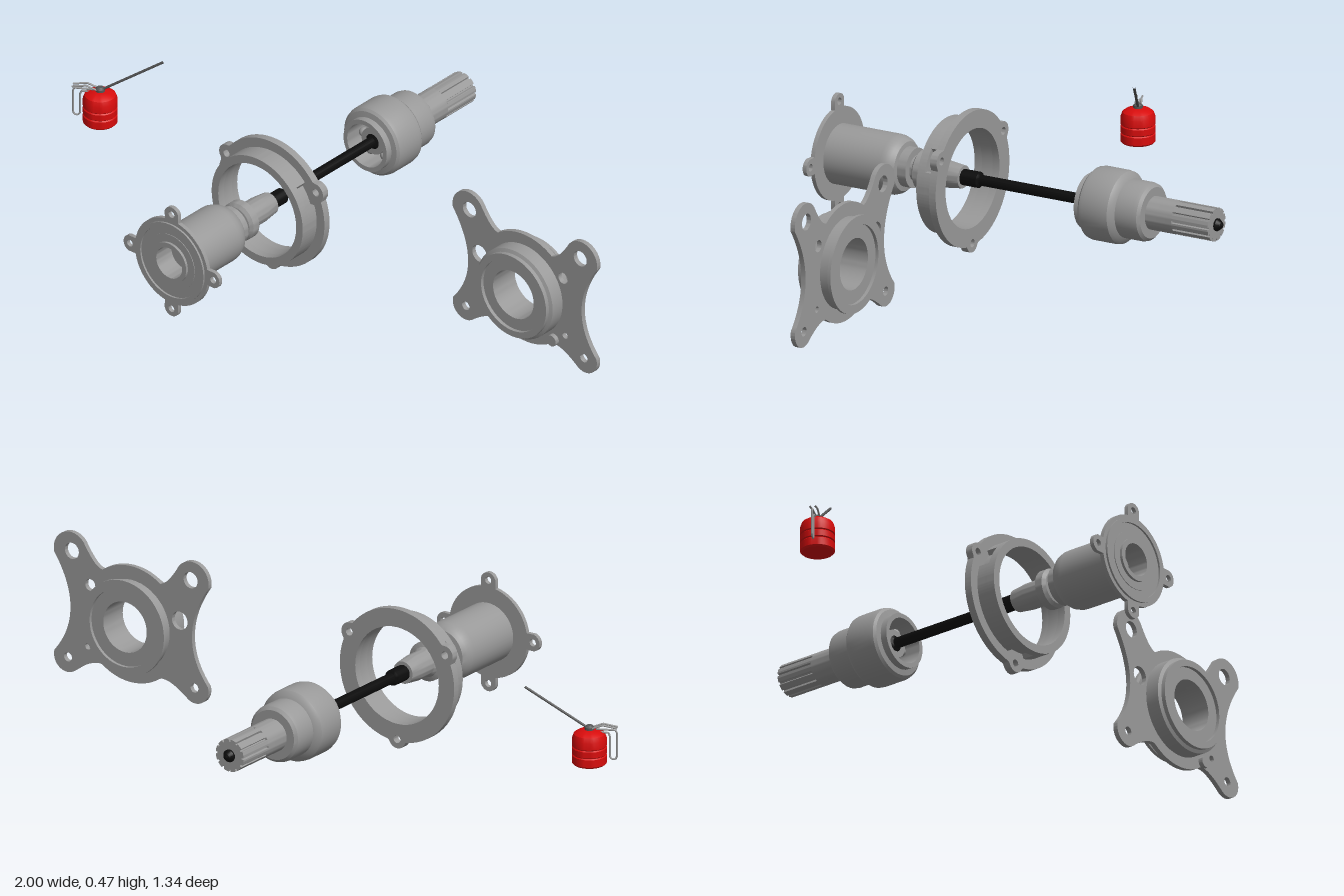
import * as THREE from 'three';
import { toCreasedNormals } from 'three/addons/utils/BufferGeometryUtils.js';

const mat = (name, color, side = THREE.FrontSide) => {
  const m = new THREE.MeshStandardMaterial({ color, side });
  m.name = name;
  return m;
};

export function createModel() {
  const steel = mat('steel grey', 0x999999);
  const black = mat('black', 0x0c0c0c);
  const red = mat('red', 0xd80c0c);
  const dark = mat('dark grey', 0x555555);

  const add = (parent, name, geo, material, x = 0, y = 0, z = 0) => {
    const m = new THREE.Mesh(geo, material);
    m.name = name;
    m.position.set(x, y, z);
    parent.add(m);
    return m;
  };
  const group = (parent, name, x, y, z = 0) => {
    const g = new THREE.Group();
    g.name = name;
    g.position.set(x, y, z);
    parent.add(g);
    return g;
  };
  const V = (p) => p.map(([a, b]) => new THREE.Vector2(a, b));

  // Turned part: profile of [radius, height], revolved around y
  const turn = (profile, seg = 48) => toCreasedNormals(new THREE.LatheGeometry(V(profile), seg), 0.5);
  // Same, with the axis laid along z
  const turnZ = (profile, seg) => turn(profile, seg).rotateX(Math.PI / 2);

  // Flat part between two z values, with round holes [x, y, r]
  const slab = (shape, holes, z0, z1) => {
    for (const [x, y, r] of holes) {
      const h = new THREE.Path();
      h.absarc(x, y, r, 0, Math.PI * 2, true);
      shape.holes.push(h);
    }
    const g = new THREE.ExtrudeGeometry(shape, { depth: z1 - z0, bevelEnabled: false, curveSegments: 24 });
    return toCreasedNormals(g.translate(0, 0, z0), 0.5);
  };
  // Outline given as radius by angle
  const polar = (rule, n = 240) => new THREE.Shape(Array.from({ length: n }, (_, i) => {
    const t = (i / n) * Math.PI * 2;
    const r = rule(t);
    return new THREE.Vector2(r * Math.cos(t), r * Math.sin(t));
  }));
  // Disc with round lobes at the given angles
  const lobed = (base, angles, d, rho) => polar((t) => Math.max(base, ...angles.map((a) => {
    const s = rho * rho - (d * Math.sin(t - a)) ** 2;
    return s > 0 && Math.cos(t - a) > 0 ? d * Math.cos(t - a) + Math.sqrt(s) : 0;
  })));
  const around = (angles, d, r) => angles.map((a) => [d * Math.cos(a), d * Math.sin(a), r]);

  const model = new THREE.Group();
  model.name = 'axle assembly';
  const axle = group(model, 'axle', -0.157, 0.228);

  // Flanged hub at the front
  const hub = group(axle, 'flangedHub', 0, 0);
  add(hub, 'hubBarrel', turnZ([
    [0, 0.22], [0.034, 0.22], [0.04, 0.27], [0.04, 0.32], [0.046, 0.33], [0.06, 0.335], [0.06, 0.36],
    [0.05, 0.368], [0.038, 0.37], [0.038, 0.383], [0.06, 0.383], [0.06, 0.412], [0.074, 0.414],
    [0.083, 0.425], [0.089, 0.442], [0.09, 0.455], [0.09, 0.66], [0.065, 0.66], [0.065, 0.668],
    [0.05, 0.668], [0.05, 0.6], [0.016, 0.6], [0.016, 0.61], [0, 0.61]]), steel);
  const quarter = [0, 1, 2, 3].map((i) => i * Math.PI / 2);
  add(hub, 'hubFlange', slab(lobed(0.14, quarter, 0.157, 0.027),
    [[0, 0, 0.089], ...around(quarter, 0.16, 0.011)], 0.645, 0.658), steel);
  add(hub, 'hubFaceRing', turnZ([
    [0.115, 0.655], [0.128, 0.655], [0.128, 0.664], [0.115, 0.664], [0.115, 0.655]]), steel);

  // Open retaining ring with three bolt lobes and pockets beside them
  const ring = group(axle, 'retainingRing', 0, 0);
  const thirds = [1, 5, 9].map((i) => i * Math.PI / 6);
  const pocketed = polar((t) =>
    (thirds.some((a) => Math.cos(t - a) > Math.cos(0.2)) ? 0.16 : 0.175));
  add(ring, 'ringFlange', slab(lobed(0.205, thirds, 0.196, 0.03),
    [[0, 0, 0.15], ...around(thirds, 0.198, 0.012)], 0.19, 0.213), steel);
  add(ring, 'ringPocketBand', slab(pocketed, [[0, 0, 0.15]], 0.213, 0.25), steel);
  add(ring, 'ringBody', slab(polar(() => 0.175), [[0, 0, 0.15]], 0.25, 0.275), steel);

  // Drive shaft with splined ends
  add(axle, 'driveShaft', turnZ([
    [0, -0.34], [0.024, -0.34], [0.024, -0.24], [0.016, -0.235], [0.016, 0.16],
    [0.024, 0.165], [0.024, 0.23], [0, 0.23]], 20), black);

  // Constant velocity joint at the back
  const joint = group(axle, 'driveJoint', 0, 0);
  add(joint, 'jointCup', turnZ([
    [0.04, -0.43], [0.076, -0.43], [0.085, -0.422], [0.088, -0.41], [0.088, -0.35], [0.1, -0.344],
    [0.108, -0.335], [0.11, -0.322], [0.11, -0.25], [0.107, -0.238], [0.1, -0.231], [0.083, -0.228],
    [0.083, -0.207], [0.069, -0.207], [0.069, -0.36], [0, -0.36]]), steel);
  add(joint, 'innerRace', turnZ([
    [0.02, -0.3], [0.042, -0.3], [0.045, -0.27], [0.042, -0.24], [0.02, -0.24], [0.02, -0.3]]), steel);
  for (let i = 0; i < 6; i++) {
    const a = i * Math.PI / 3;
    add(joint, 'jointBall', new THREE.SphereGeometry(0.015, 16, 12), steel,
      0.054 * Math.cos(a), 0.054 * Math.sin(a), -0.265);
  }
  add(joint, 'stubShaft', turnZ([[0, -0.52], [0.05, -0.52], [0.05, -0.425], [0, -0.425]]), steel);
  add(joint, 'stubSplines', slab(polar((t) => (Math.cos(12 * t) > 0.6 ? 0.043 : 0.05)), [], -0.645, -0.52), steel);
  add(joint, 'shaftTip', turnZ([
    [0, -0.667], [0.01, -0.662], [0.019, -0.65], [0.019, -0.64], [0, -0.64]], 20), black);

  // Mounting bracket with four arms
  const bracket = group(model, 'mountingBracket', 0.722, 0.23);
  const plate = new THREE.Shape();
  plate.absarc(0.218, 0.18, 0.06, -0.2, 2.5, false);
  plate.quadraticCurveTo(0.13, 0.15, 0.105, 0.148);
  plate.absarc(0, 0, 0.18, 0.96, Math.PI - 0.96, false);
  plate.quadraticCurveTo(-0.13, 0.15, -0.17, 0.216);
  plate.absarc(-0.218, 0.18, 0.06, Math.PI - 2.5, Math.PI + 0.2, false);
  plate.quadraticCurveTo(-0.16, 0.0, -0.275, -0.137);
  plate.absarc(-0.23, -0.15, 0.047, 2.86, 5.4, false);
  plate.quadraticCurveTo(-0.14, -0.14, -0.105, -0.146);
  plate.absarc(0, 0, 0.18, Math.PI + 0.95, Math.PI * 2 - 0.95, false);
  plate.quadraticCurveTo(0.14, -0.14, 0.2, -0.186);
  plate.absarc(0.23, -0.15, 0.047, 4.02, 6.56, false);
  plate.quadraticCurveTo(0.16, 0.0, 0.277, 0.168);
  add(bracket, 'bracketPlate', slab(plate, [
    [0, 0, 0.12], [-0.213, 0.182, 0.025], [0.213, 0.182, 0.025], [-0.227, -0.15, 0.014], [0.227, -0.15, 0.014],
    [-0.174, 0.048, 0.028], [0.147, 0.09, 0.018], [0.155, -0.102, 0.01]], 0.086, 0.101), steel);
  add(bracket, 'bearingHousing', turnZ([
    [0.078, 0.055], [0.12, 0.055], [0.12, 0.045], [0.147, 0.045], [0.147, 0.055], [0.138, 0.058],
    [0.138, 0.087], [0.145, 0.09], [0.145, 0.145], [0.135, 0.15], [0.135, 0.163], [0.115, 0.163],
    [0.115, 0.152], [0.078, 0.152], [0.078, 0.055]]), steel);
  add(bracket, 'smallBoss', turnZ([
    [0, 0.095], [0.018, 0.095], [0.018, 0.115], [0, 0.115]], 20), steel, 0.113, -0.13, 0);

  // Red spray can with a thin nozzle and wire handle
  const can = group(model, 'sprayCan', -0.918, 0.147, 0.092);
  can.rotation.y = 0.49;
  add(can, 'canBody', turn([
    [0, 0], [0.046, 0], [0.051, 0.005], [0.051, 0.028], [0.048, 0.031], [0.051, 0.034], [0.051, 0.052],
    [0.048, 0.055], [0.051, 0.058], [0.051, 0.08], [0.046, 0.094], [0.034, 0.102], [0.016, 0.106], [0, 0.106]], 32), red);
  add(can, 'canNeck', turn([
    [0, 0.1], [0.014, 0.1], [0.014, 0.114], [0.008, 0.12], [0, 0.12]], 20), dark);
  const rod = (name, pts, r, material) => {
    const path = new THREE.CurvePath();
    const p = pts.map(([x, y, z = 0]) => new THREE.Vector3(x, y, z));
    for (let i = 1; i < p.length; i++) path.add(new THREE.LineCurve3(p[i - 1], p[i]));
    add(can, name, new THREE.TubeGeometry(path, (p.length - 1) * 8, r, 8), material);
  };
  rod('nozzle', [[0, 0.108], [0.19, 0.229]], 0.004, dark);
  for (const z of [-0.008, 0.008]) {
    rod('handleWire', [[0, 0.108, z], [-0.04, 0.123, z], [-0.083, 0.115, z]], 0.003, steel);
  }
  rod('handleLoop', [[-0.03, 0.1], [-0.056, 0.098], [-0.06, 0.09], [-0.06, 0.025], [-0.066, 0.017],
    [-0.076, 0.017], [-0.081, 0.025], [-0.081, 0.1], [-0.076, 0.107], [-0.02, 0.108]], 0.003, steel);

  return model;
}
